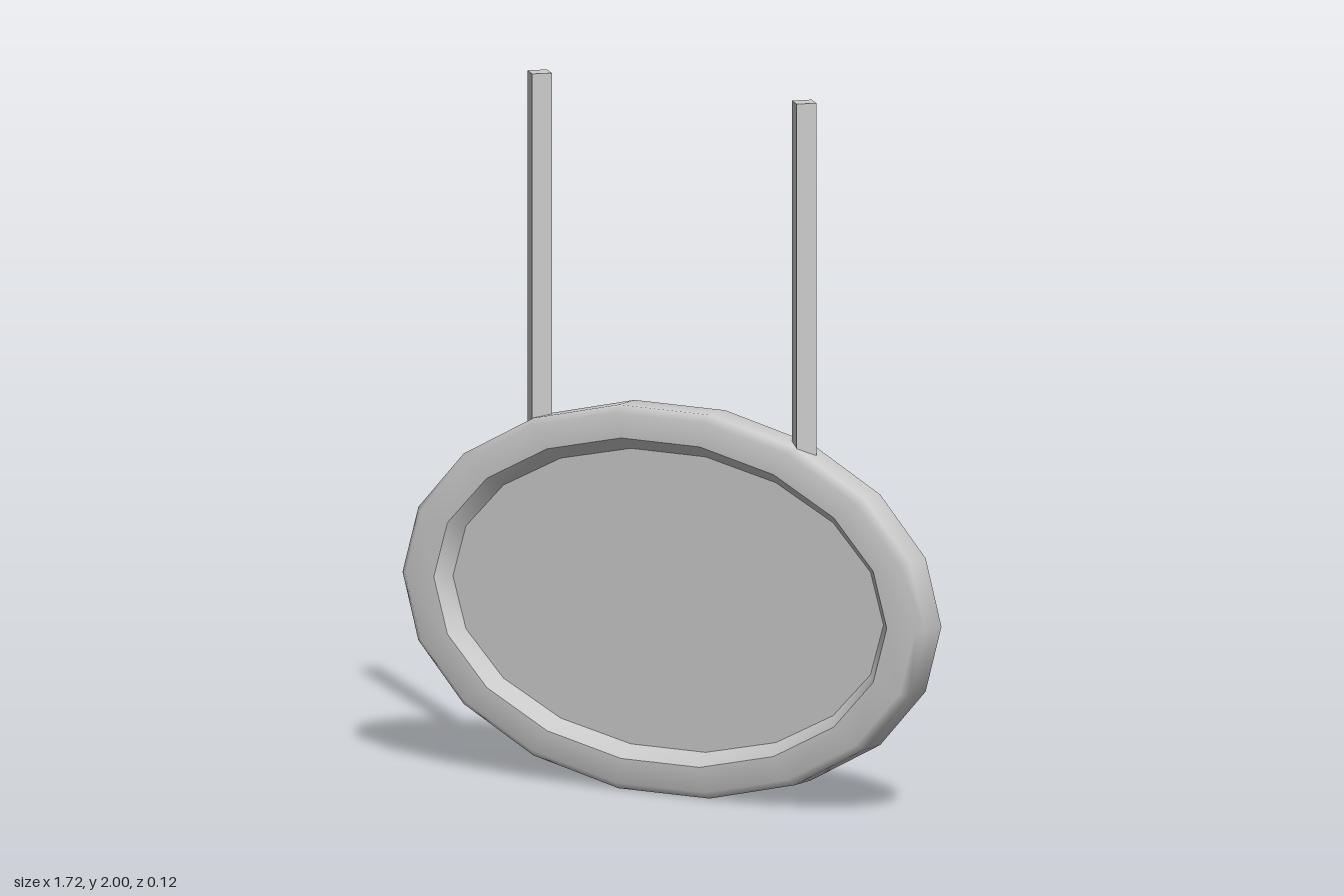
import * as THREE from 'three';

const SIDES = 18;
const CENTER_Y = 0.545;
const grey = new THREE.MeshStandardMaterial({ color: 0xcccccc });
const greyFlat = new THREE.MeshStandardMaterial({ color: 0xcccccc, flatShading: true });

// Skin a row of oval rings, each [radiusX, radiusY, z], with smooth normals
function loftOvals(rings) {
  const pos = [], index = [];
  for (const [rx, ry, z] of rings) {
    for (let i = 0; i < SIDES; i++) {
      const a = (i / SIDES) * Math.PI * 2;
      pos.push(rx * Math.cos(a), ry * Math.sin(a), z);
    }
  }
  for (let r = 0; r < rings.length - 1; r++) {
    for (let i = 0; i < SIDES; i++) {
      const j = (i + 1) % SIDES;
      const a = r * SIDES + i, b = r * SIDES + j;
      index.push(a, b, b + SIDES, a, b + SIDES, a + SIDES);
    }
  }
  const geo = new THREE.BufferGeometry();
  geo.setAttribute('position', new THREE.Float32BufferAttribute(pos, 3));
  geo.setIndex(index);
  geo.computeVertexNormals();
  return geo;
}

export function createModel() {
  const model = new THREE.Group();
  model.name = 'hangingSign';

  const add = (name, geometry, material, x, y, z, parent = model) => {
    const mesh = new THREE.Mesh(geometry, material);
    mesh.name = name;
    mesh.position.set(x, y, z);
    parent.add(mesh);
    return mesh;
  };

  // Rounded oval frame, from the back inner rim around to the front inner rim
  const half = [[0.86, 0.553, 0.042], [0.838, 0.533, 0.062], [0.745, 0.462, 0.062]];
  const back = half.map(([rx, ry, z]) => [rx, ry, -z]).reverse();
  add('frame', loftOvals([...back, ...half]), grey, 0, CENTER_Y, 0);

  // Recessed panel and its sloping rim, on both faces
  const slope = loftOvals([[0.745, 0.462, 0.062], [0.708, 0.426, 0.02]]);
  const disc = new THREE.CircleGeometry(1, SIDES).scale(0.708, 0.426, 1);
  for (const [side, turn] of [['front', 0], ['back', Math.PI]]) {
    const face = new THREE.Group();
    face.name = side + 'Face';
    face.position.y = CENTER_Y;
    face.rotation.y = turn;
    add(side + 'InnerRim', slope, grey, 0, 0, 0, face);
    add(side + 'Panel', disc, grey, 0, 0, 0.02, face);
    model.add(face);
  }

  // Square hanging rods, set corner-on
  const bottom = 0.98, top = 2;
  const rod = new THREE.CylinderGeometry(0.04, 0.04, top - bottom, 4);
  for (const [name, x] of [['leftRod', 0.435], ['rightRod', -0.435]]) {
    add(name, rod, greyFlat, x, (top + bottom) / 2, 0);
  }

  return model;
}
